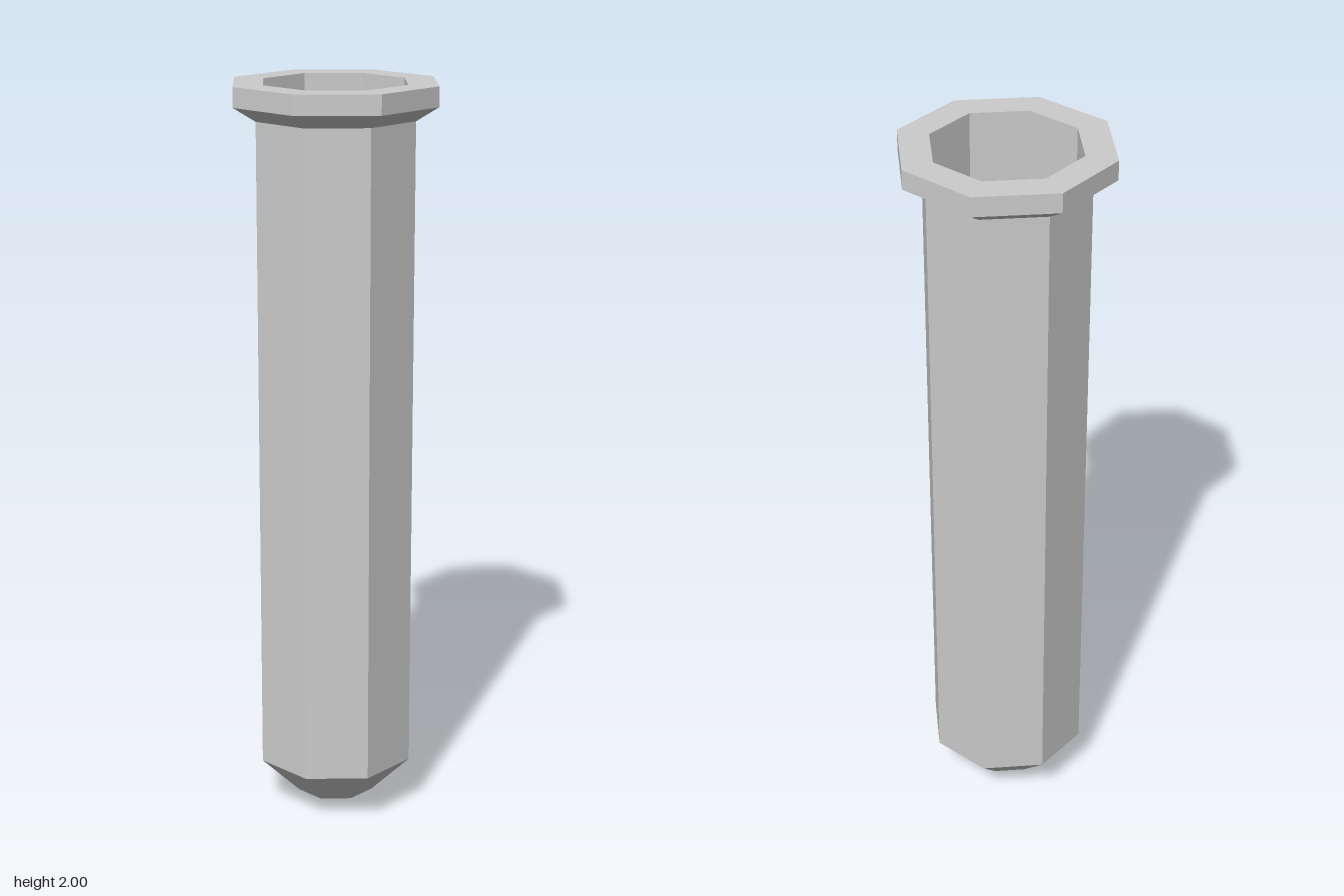
import * as THREE from 'three';

const SIDES = 8;
const TURN = THREE.MathUtils.degToRad(33.7);

export function createModel() {
  const model = new THREE.Group();

  // Hollow eight-sided tube: outer wall, flared rim, then the inner wall back down
  const profile = [
    [0, 0], [0.11, 0.035], [0.219, 0.145], [0.219, 1.91],
    [0.28, 1.948], [0.28, 2], [0.197, 2],
    [0.197, 0.15], [0.1, 0.055], [0, 0.025],
  ].map(([r, y]) => new THREE.Vector2(r, y));
  const tube = new THREE.Mesh(
    new THREE.LatheGeometry(profile, SIDES, TURN),
    new THREE.MeshStandardMaterial({ color: 0xcccccc, flatShading: true })
  );
  tube.name = 'tube';
  model.add(tube);

  // Round filling standing inside the tube
  const bottom = 0.15, top = 1.1;
  const filling = new THREE.Mesh(
    new THREE.CylinderGeometry(0.177, 0.177, top - bottom, 32),
    new THREE.MeshStandardMaterial({ color: 0xcccccc })
  );
  filling.position.y = (bottom + top) / 2;
  filling.name = 'filling';
  model.add(filling);

  return model;
}
